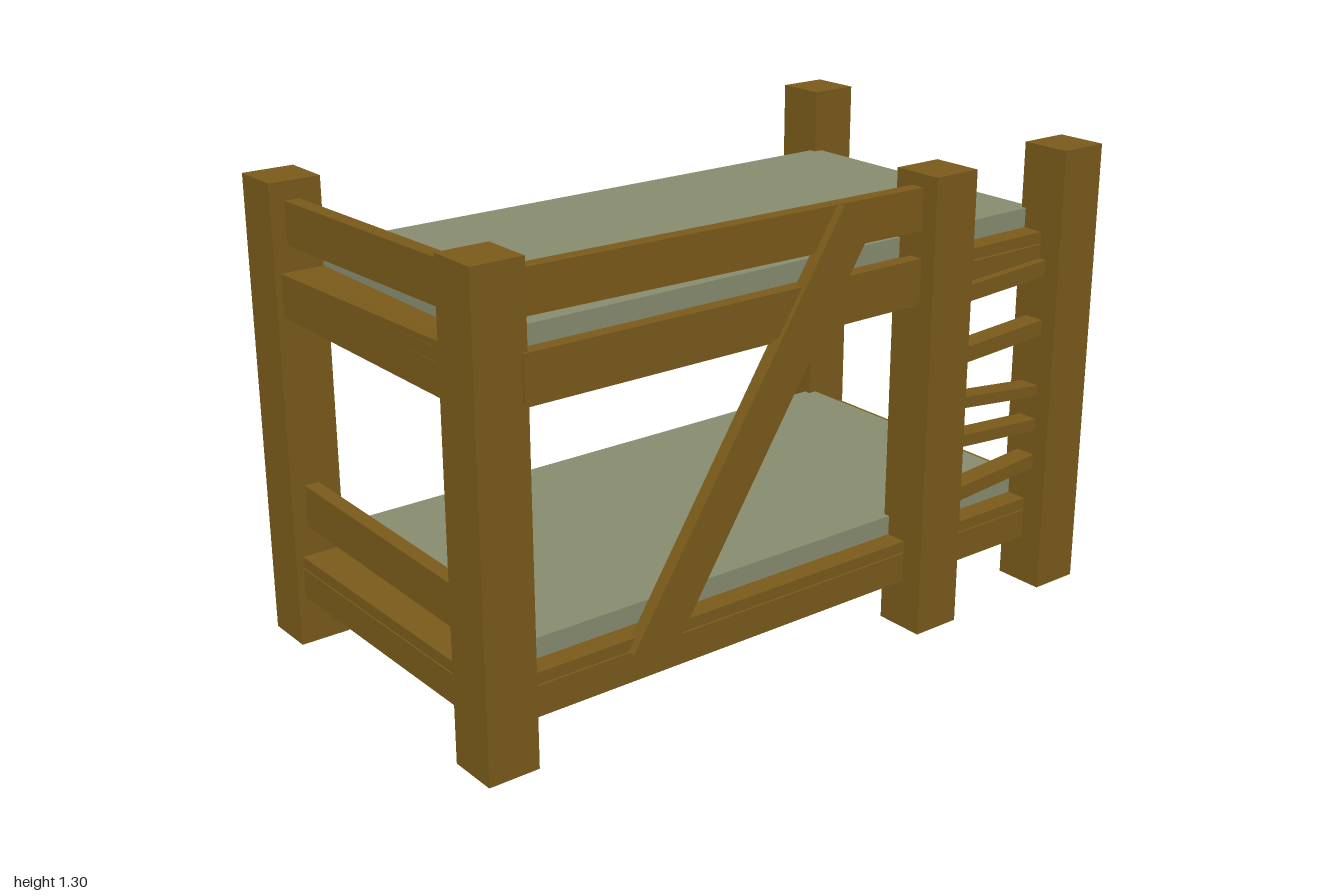
import * as THREE from 'three';

const wood = new THREE.MeshStandardMaterial({ color: 0x7a5a1a, flatShading: true });
const fabric = new THREE.MeshStandardMaterial({ color: 0x878c70, flatShading: true });

// Box given by its extents on each axis
function block(name, [x0, x1], [y0, y1], [z0, z1], material = wood) {
  const mesh = new THREE.Mesh(new THREE.BoxGeometry(x1 - x0, y1 - y0, z1 - z0), material);
  mesh.position.set((x0 + x1) / 2, (y0 + y1) / 2, (z0 + z1) / 2);
  mesh.name = name;
  return mesh;
}

// Plank running between two points, with its height kept as upright as possible
function plank(name, from, to, height, depth) {
  const a = new THREE.Vector3(...from), b = new THREE.Vector3(...to);
  const along = b.clone().sub(a);
  const mesh = new THREE.Mesh(new THREE.BoxGeometry(along.length(), height, depth), wood);
  along.normalize();
  const side = along.clone().cross(new THREE.Vector3(0, 1, 0)).normalize();
  const up = side.clone().cross(along);
  mesh.quaternion.setFromRotationMatrix(new THREE.Matrix4().makeBasis(along, up, side));
  mesh.position.copy(a).add(b).multiplyScalar(0.5);
  mesh.name = name;
  return mesh;
}

// One bunk: solid base, raised rim and mattress, starting at height y
function bunk(name, y) {
  const group = new THREE.Group();
  group.name = name;
  const rim = [y + 0.088, y + 0.12];
  group.add(
    block('bunkBase', [-0.98, 0.99], [y, y + 0.084], [-0.51, 0.507]),
    block('backRim', [-0.87, 0.88], rim, [-0.51, -0.45]),
    block('frontRim', [-0.87, 0.88], rim, [0.445, 0.507]),
    block('leftRim', [0.88, 0.99], rim, [-0.5, 0.5]),
    block('rightRim', [-0.98, -0.86], rim, [-0.5, 0.5]),
    block('mattress', [-0.86, 0.88], [y + 0.084, y + 0.175], [-0.45, 0.445], fabric)
  );
  return group;
}

export function createModel() {
  const model = new THREE.Group();
  model.name = 'bunkBed';

  // Posts: four corners and one beside the ladder
  const posts = [
    ['backRightPost', -0.927, -0.503], ['backLeftPost', 0.927, -0.503],
    ['frontRightPost', -0.927, 0.437], ['frontLeftPost', 0.927, 0.503],
    ['ladderPost', 0.442, 0.5]
  ];
  for (const [name, x, z] of posts) {
    model.add(block(name, [x - 0.073, x + 0.073], [0, 1.3], [z - 0.073, z + 0.073]));
  }

  model.add(bunk('lowerBunk', 0.14), bunk('upperBunk', 0.94));

  // Front guard rail, overlapping rail and diagonal brace
  model.add(
    plank('frontGuardRail', [-0.9, 1.207, 0.464], [0.42, 1.207, 0.506], 0.116, 0.04),
    plank('frontRail', [-0.87, 1.015, 0.497], [0.42, 1.015, 0.507], 0.12, 0.04),
    plank('diagonalBrace', [-0.528, 0.195, 0.511], [0.13, 1.235, 0.521], 0.12, 0.038)
  );

  // Slightly crooked end boards: height at the front, height at the back, x
  const endBoards = [
    ['upperEndGuard', 1.207, 1.19, -0.938],
    ['upperEndRail', 1.02, 1.0, -0.962],
    ['lowerEndGuard', 0.385, 0.405, -0.938]
  ];
  for (const [name, yFront, yBack, x] of endBoards) {
    model.add(plank(name, [x + 0.005, yFront, 0.39], [x, yBack, -0.45], 0.118, 0.042));
  }

  // Uneven ladder rungs: height at each end, thickness
  const rungs = [
    [0.355, 0.385, 0.04], [0.522, 0.495, 0.034], [0.638, 0.597, 0.032],
    [0.767, 0.788, 0.045], [0.942, 0.962, 0.046]
  ];
  for (const [y0, y1, h] of rungs) {
    model.add(plank('ladderRung', [0.5, y0, 0.5], [0.87, y1, 0.5], h, 0.06));
  }
  return model;
}
